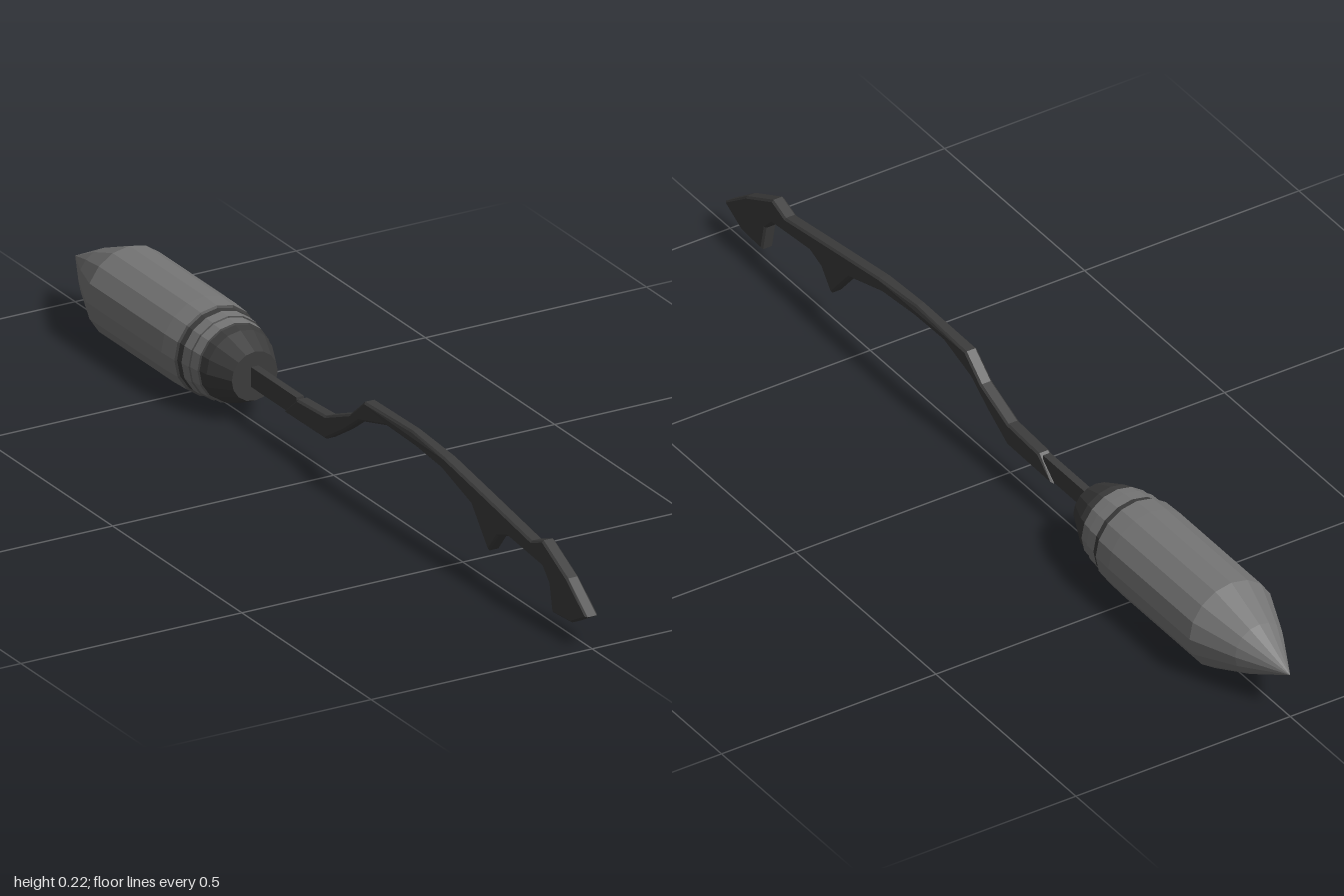
import * as THREE from 'three';

const darkMetal = new THREE.MeshStandardMaterial({ color: 0x3c3c3c, flatShading: true });
darkMetal.name = 'dark metal';
const greyMetal = new THREE.MeshStandardMaterial({ color: 0x767676, flatShading: true });
greyMetal.name = 'grey metal';

const AXIS_Y = 0.099;

// Sixteen-sided turned part lying along -z; profile pairs are [radius, distance towards the tip]
function turned(name, profile, material) {
  const points = profile.map(([r, d]) => new THREE.Vector2(r, d));
  const geometry = new THREE.LatheGeometry(points, 16);
  geometry.rotateX(-Math.PI / 2);
  const mesh = new THREE.Mesh(geometry, material);
  mesh.name = name;
  mesh.position.y = AXIS_Y;
  return mesh;
}

// Side outline given as [z, y], with bevelled edges, extruded across x
function handleGeometry(outline, halfWidth, bevel) {
  const shape = new THREE.Shape(outline.map(([z, y]) => new THREE.Vector2(z, y)));
  const geometry = new THREE.ExtrudeGeometry(shape, {
    depth: 2 * (halfWidth - bevel),
    bevelThickness: bevel,
    bevelSize: bevel,
    bevelOffset: -bevel,
    bevelSegments: 1,
  });
  geometry.translate(0, 0, bevel - halfWidth);
  geometry.rotateY(-Math.PI / 2);
  return geometry;
}

export function createModel() {
  const group = new THREE.Group();
  group.name = 'spearHeadTool';

  // Curved handle with a finger spur and a hooked butt
  const outline = [
    [-0.17, 0.077], [-0.01, 0.077], [0.06, 0.12], [0.12, 0.163], [0.22, 0.19],
    [0.33, 0.188], [0.44, 0.18], [0.555, 0.147], [0.62, 0.072], [0.655, 0.115],
    [0.695, 0.13], [0.83, 0.116], [0.855, 0.09], [0.867, 0.032], [0.94, 0.037],
    [1.0, 0.07], [0.925, 0.125], [0.83, 0.171], [0.785, 0.154], [0.6, 0.183],
    [0.45, 0.206], [0.32, 0.216], [0.14, 0.211], [0.085, 0.165], [-0.01, 0.126],
    [-0.12, 0.12],
  ];
  const grip = handleGeometry(outline, 0.014, 0.004);
  const position = grip.attributes.position;
  for (let i = 0; i < position.count; i++) {
    // Slim waist under the top of the arch
    const z = position.getZ(i);
    if (z > 0.2 && z < 0.34) position.setX(i, position.getX(i) * 0.8);
  }
  const handle = new THREE.Mesh(grip, darkMetal);
  handle.name = 'handle';
  group.add(handle);

  // Thin shaft joining handle and head
  const shaft = new THREE.Mesh(new THREE.BoxGeometry(0.017, 0.042, 0.2), darkMetal);
  shaft.name = 'shaft';
  shaft.position.set(0, AXIS_Y, -0.23);
  group.add(shaft);

  // Collar and stepped bands
  group.add(
    turned('collar', [[0, 0.305], [0.052, 0.305], [0.077, 0.36], [0.08, 0.382], [0.084, 0.383]], darkMetal),
    turned('lowerBand', [[0.084, 0.383], [0.086, 0.408]], greyMetal),
    turned('bandStep', [[0.086, 0.408], [0.089, 0.409]], darkMetal),
    turned('upperBand', [[0.089, 0.409], [0.09, 0.435]], greyMetal),
    turned('darkRing', [[0.09, 0.435], [0.091, 0.45], [0.096, 0.452]], darkMetal),
  );

  // Barrel and pointed tip
  group.add(
    turned('barrel', [[0.096, 0.452], [0.098, 0.5], [0.098, 0.79]], greyMetal),
    turned('tip', [[0.098, 0.79], [0.057, 0.89], [0, 1]], greyMetal),
  );

  // Rest the lowest facet on the ground
  const box = new THREE.Box3().setFromObject(group);
  for (const part of group.children) part.position.y -= box.min.y;
  return group;
}
